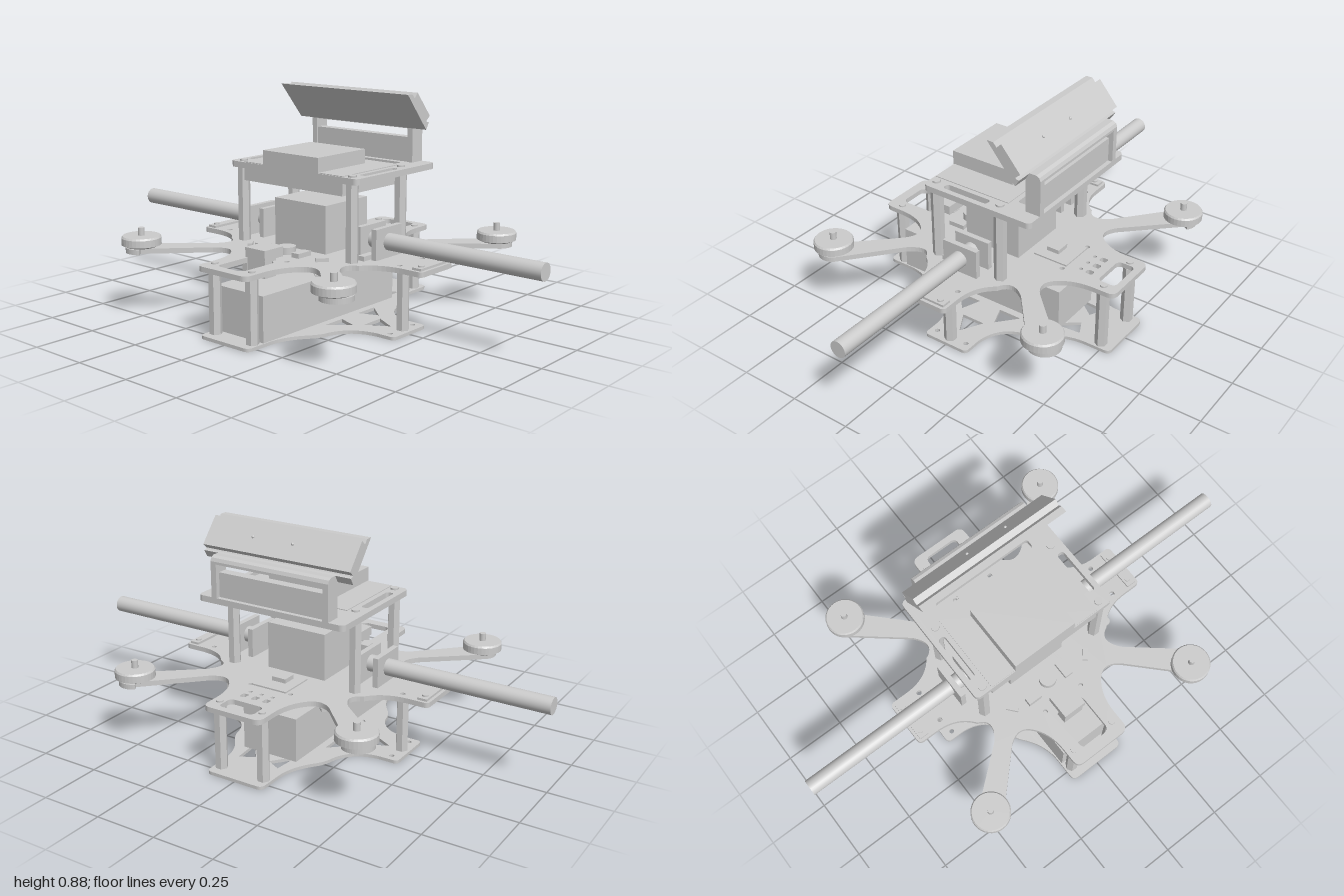
import * as THREE from 'three';

const grey = new THREE.MeshStandardMaterial({ color: 0xcccccc, side: THREE.DoubleSide });
const flat = new THREE.MeshStandardMaterial({ color: 0xcccccc, flatShading: true });
const SIDES = [-1, 1];

export function createModel() {
  const model = new THREE.Group();

  const add = (name, geo, x = 0, y = 0, z = 0, mat = grey) => {
    const mesh = new THREE.Mesh(geo, mat);
    mesh.name = name;
    mesh.position.set(x, y, z);
    model.add(mesh);
    return mesh;
  };
  // Box given by its limits on each axis
  const box = (name, x0, x1, y0, y1, z0, z1) =>
    add(name, new THREE.BoxGeometry(x1 - x0, y1 - y0, z1 - z0), (x0 + x1) / 2, (y0 + y1) / 2, (z0 + z1) / 2);
  const rod = (name, r, x, y0, y1, z, sides = 20) =>
    add(name, new THREE.CylinderGeometry(r, r, y1 - y0, sides), x, (y0 + y1) / 2, z, sides < 8 ? flat : grey);

  // Hole helpers, in plan (x, z)
  const circle = (x, z, r) => new THREE.Path().absarc(x, z, r, 0, Math.PI * 2, true);
  const slot = (x, z, w, d, r) => {
    const p = new THREE.Path(), a = w / 2 - r, b = d / 2 - r;
    p.absarc(x + a, z + b, r, 0, Math.PI / 2);
    p.absarc(x - a, z + b, r, Math.PI / 2, Math.PI);
    p.absarc(x - a, z - b, r, Math.PI, Math.PI * 1.5);
    p.absarc(x + a, z - b, r, Math.PI * 1.5, Math.PI * 2);
    p.closePath();
    return p;
  };
  const triangle = (...p) => new THREE.Path(p.map(([x, z]) => new THREE.Vector2(x, z)));

  // Flat plate lying between y0 and y1
  const plate = (name, shape, holes, y0, y1) => {
    shape.holes.push(...holes);
    const geo = new THREE.ExtrudeGeometry(shape, { depth: y1 - y0, bevelEnabled: false, curveSegments: 10 });
    return add(name, geo.rotateX(Math.PI / 2), 0, y1, 0);
  };
  // Full outline from one quadrant running from the x axis to the z axis
  const mirrored = (path) => {
    const q = path.getPoints(10), r = [...q].reverse();
    const m = (pts, sx, sz) => pts.map((p) => new THREE.Vector2(p.x * sx, p.y * sz));
    return new THREE.Shape([...q, ...m(r, -1, 1), ...m(q, -1, -1), ...m(r, 1, -1)]);
  };

  // Lower plate: a scalloped cross with triangular cut-outs
  const low = new THREE.Path().moveTo(0.545, 0.1);
  low.quadraticCurveTo(0.545, 0.125, 0.52, 0.125);
  low.lineTo(0.44, 0.125);
  low.quadraticCurveTo(0.36, 0.125, 0.29, 0.18);
  low.quadraticCurveTo(0.25, 0.215, 0.21, 0.22);
  low.quadraticCurveTo(0.11, 0.25, 0.1, 0.36);
  low.lineTo(0.1, 0.42);
  low.quadraticCurveTo(0.1, 0.44, 0.08, 0.44);
  const lowHoles = [circle(0, 0, 0.03)];
  for (const a of SIDES) {
    lowHoles.push(triangle([a * 0.2, -0.08], [a * 0.2, 0.08], [a * 0.31, 0]));
    lowHoles.push(triangle([-0.05, a * 0.26], [0.05, a * 0.26], [0, a * 0.35]));
    for (const b of SIDES) {
      lowHoles.push(triangle([a * 0.05, b * 0.15], [a * 0.15, b * 0.15], [a * 0.08, b * 0.23]));
      lowHoles.push(triangle([a * 0.27, b * 0.1], [a * 0.39, b * 0.09], [a * 0.36, b * 0.03]));
      lowHoles.push(circle(a * 0.07, b * 0.4, 0.01));
    }
  }
  plate('lowerPlate', mirrored(low), lowHoles, 0, 0.013);

  // Main plate: four tabs and four diagonal motor arms
  const main = new THREE.Path().moveTo(0.553, 0.095);
  main.quadraticCurveTo(0.553, 0.127, 0.52, 0.127);
  main.lineTo(0.46, 0.127);
  main.quadraticCurveTo(0.37, 0.13, 0.32, 0.18);
  main.quadraticCurveTo(0.28, 0.22, 0.325, 0.275);
  main.lineTo(0.525, 0.47);
  main.absarc(0.497, 0.497, 0.062, -0.7, Math.PI / 2 + 0.7);
  main.lineTo(0.275, 0.325);
  main.quadraticCurveTo(0.2, 0.26, 0.17, 0.33);
  main.quadraticCurveTo(0.1, 0.38, 0.1, 0.48);
  main.lineTo(0.1, 0.54);
  main.quadraticCurveTo(0.1, 0.56, 0.08, 0.56);
  const mainHoles = [slot(0.488, 0, 0.075, 0.15, 0.02), slot(-0.42, 0, 0.18, 0.13, 0.025), circle(0, 0, 0.03)];
  for (const a of SIDES) for (const b of SIDES) {
    mainHoles.push(circle(a * 0.497, b * 0.497, 0.025), circle(a * 0.3, b * 0.09, 0.01));
    mainHoles.push(circle(a * 0.06, b * 0.06, 0.012), circle(a * 0.07, b * 0.44, 0.01));
  }
  for (const z of [-0.05, 0, 0.05]) mainHoles.push(slot(0.4, z, 0.03, 0.025, 0.008), circle(0.36, z, 0.008));
  plate('mainPlate', mirrored(main), mainHoles, 0.262, 0.282);

  // Hexagonal standoffs between lower and main plates
  for (const a of SIDES) {
    rod('lowerStandoff', 0.025, 0, 0.013, 0.262, a * 0.405, 6);
    for (const b of SIDES) {
      rod('lowerStandoff', 0.025, a * 0.49, 0.013, 0.262, b * 0.095, 6);
      rod('plateScrew', 0.014, a * 0.49, 0.282, 0.288, b * 0.095);
    }
  }
  box('battery', -0.46, 0.31, 0.013, 0.19, -0.12, 0.12);

  // Motors, with an open boss below and a shaft on top
  const bell = [[0.03, 0.0], [0.06, 0], [0.078, 0.008], [0.078, 0.036], [0.073, 0.043], [0, 0.043]];
  for (const [x, z] of [[-0.49, -0.505], [0.503, -0.495], [-0.503, 0.49], [0.49, 0.5]]) {
    const geo = new THREE.LatheGeometry(bell.map(([r, y]) => new THREE.Vector2(r, y)), 32).toNonIndexed();
    geo.computeVertexNormals();
    add('motor', geo, x, 0.282, z);
    rod('motorShaft', 0.013, x, 0.32, 0.356, z, 16);
  }

  // Rods fore and aft, each held by two clamp plates
  for (const s of SIDES) {
    const tube = add('boom', new THREE.CylinderGeometry(0.033, 0.033, 0.75, 28), 0, 0.343, s * 0.625);
    tube.rotation.x = Math.PI / 2;
    for (const z of [0.25, 0.325]) {
      box('boomClamp', -0.078, 0.078, 0.282, 0.4, s * z - 0.011, s * z + 0.011);
    }
    box('tabBracket', -0.088, 0.088, 0.282, 0.291, s * 0.528 - 0.02, s * 0.528 + 0.02);
    for (const x of SIDES) rod('bracketScrew', 0.012, x * 0.06, 0.291, 0.297, s * 0.528, 12);
  }

  // Central housing
  box('centralHousing', -0.125, 0.125, 0.282, 0.47, -0.13, 0.13);

  // Upper deck on four posts
  for (const a of SIDES) for (const b of SIDES) {
    rod('upperPost', 0.025, a * 0.147, 0.282, 0.578, b * 0.277, 6);
    rod('postScrew', 0.016, a * 0.147, 0.602, 0.609, b * 0.277, 16);
  }
  const deck = new THREE.Shape(slot(0.066, 0, 0.484, 0.644, 0.02).getPoints(8));
  plate('upperDeck', deck, [slot(0, 0.285, 0.2, 0.03, 0.012), slot(0, -0.285, 0.2, 0.03, 0.012),
    slot(0.205, 0, 0.04, 0.44, 0.012)], 0.578, 0.602);
  box('deckTray', -0.172, 0.165, 0.53, 0.605, -0.25, 0.25);
  box('deckModule', -0.177, 0.102, 0.602, 0.661, -0.143, 0.137);

  // Screen bracket: two side flanges, cross bars with a gap, and a leaning back plate
  const profile = (name, pts, z0, z1) => {
    const shape = new THREE.Shape(pts.map(([x, y]) => new THREE.Vector2(x, y)));
    return add(name, new THREE.ExtrudeGeometry(shape, { depth: z1 - z0, bevelEnabled: false }), 0, 0, z0);
  };
  const flange = [[0.245, 0.59], [0.309, 0.59], [0.309, 0.745], [0.303, 0.758], [0.29, 0.765], [0.245, 0.765]];
  for (const s of SIDES) profile('bracketFlange', flange, s * 0.246 - 0.012, s * 0.246 + 0.012);
  box('bracketLowerBar', 0.25, 0.29, 0.59, 0.7, -0.24, 0.24);
  profile('bracketUpperBar', [[0.245, 0.735], [0.309, 0.735], [0.309, 0.745], [0.303, 0.758], [0.29, 0.765],
    [0.245, 0.765]], -0.24, 0.24);
  profile('leaningPlate', [[0.245, 0.737], [0.262, 0.765], [0.25, 0.767], [0.152, 0.882], [0.124, 0.882]], -0.322, 0.322);
  profile('screen', [[0.242, 0.768], [0.267, 0.79], [0.186, 0.885], [0.161, 0.86]], -0.322, 0.322);
  for (const z of [0.12, -0.055]) {
    add('screenDot', new THREE.SphereGeometry(0.006, 10, 8), 0.226, 0.84, z);
  }

  // Camera and circuit boards on the tabs
  box('cameraBoard', -0.375, -0.275, 0.292, 0.33, -0.05, 0.05);
  box('cameraBase', -0.37, -0.31, 0.222, 0.292, -0.045, 0.045);
  box('cameraFoot', -0.33, -0.28, 0.23, 0.285, -0.02, 0.02);
  box('controlBoard', 0.16, 0.31, 0.285, 0.291, -0.075, 0.075);
  box('controlChip', 0.19, 0.245, 0.291, 0.308, -0.03, 0.03);
  rod('buzzer', 0.035, -0.2, 0.282, 0.31, 0, 24);
  box('receiver', -0.24, -0.17, 0.282, 0.3, 0.06, 0.095);
  box('plug', -0.245, -0.215, 0.282, 0.31, -0.125, -0.065);
  box('sidePlug', -0.11, -0.04, 0.282, 0.3, 0.275, 0.305);
  for (const s of SIDES) {
    const tab = box('smallSensor', -0.235, -0.185, 0.282, 0.296, s * 0.185 - 0.01, s * 0.185 + 0.01);
    tab.rotation.y = -s * 0.7;
  }

  // Speed controllers and their capacitors under the main plate
  for (const a of SIDES) for (const b of SIDES) {
    const unit = new THREE.Group();
    unit.name = 'speedController';
    const put = (geo, x, y, z) => {
      const m = new THREE.Mesh(geo, grey);
      m.position.set(x, y, z);
      unit.add(m);
      return m;
    };
    put(new THREE.BoxGeometry(0.15, 0.008, 0.08), 0, 0, 0);
    for (const x of [-0.05, 0, 0.05]) {
      put(new THREE.BoxGeometry(0.032, 0.018, 0.03), x, -0.012, 0.02);
      put(new THREE.CylinderGeometry(0.012, 0.012, 0.03, 14), x, -0.012, -0.02).rotation.x = Math.PI / 2;
    }
    unit.position.set(a * 0.19, 0.243, b * 0.18);
    unit.rotation.y = -a * b * Math.PI / 4;
    model.add(unit);
  }
  // Ring of pins below the hub
  for (let i = 0; i < 10; i++) {
    const t = (i / 10) * Math.PI * 2;
    rod('hubPin', 0.01, Math.cos(t) * 0.07, 0.215, 0.262, Math.sin(t) * 0.07, 10);
  }
  return model;
}
